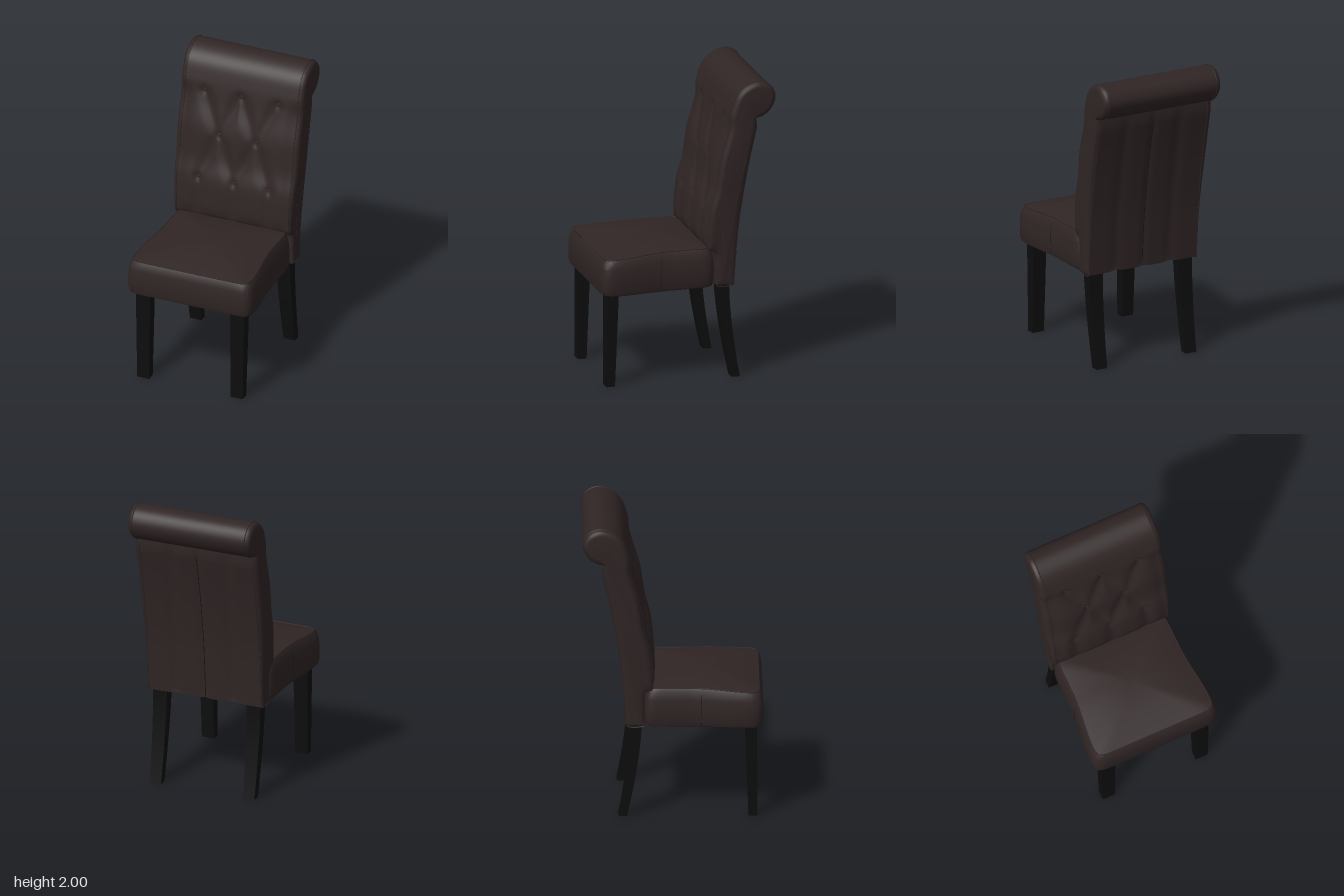
import * as THREE from 'three';
import { toCreasedNormals } from 'three/addons/utils/BufferGeometryUtils.js';

const V2 = (a, b) => new THREE.Vector2(a, b);
const V3 = (x, y, z) => new THREE.Vector3(x, y, z);
const { smoothstep, lerp } = THREE.MathUtils;
const gauss = (d, w) => Math.exp(-(d / w) * (d / w));

// Skin a list of closed rings and cap both ends
function loft(rings, project, crease = 0.7) {
  const n = rings[0].length, last = (rings.length - 1) * n, index = [];
  for (let j = 0; j < rings.length - 1; j++) {
    for (let i = 0; i < n; i++) {
      const a = j * n + i, b = j * n + (i + 1) % n;
      index.push(a, a + n, b, b, a + n, b + n);
    }
  }
  const cap = ring => THREE.ShapeUtils.triangulateShape(ring.map(project), []);
  for (const [a, b, c] of cap(rings[0])) index.push(a, b, c);
  for (const [a, b, c] of cap(rings[rings.length - 1])) index.push(last + a, last + c, last + b);
  const g = new THREE.BufferGeometry().setFromPoints(rings.flat());
  g.setIndex(index);
  return toCreasedNormals(g, crease);
}

const piping = (points, closed, radius = 0.004) =>
  new THREE.TubeGeometry(new THREE.CatmullRomCurve3(points, closed), points.length * 2, radius, 5, closed);

// Side profile of the backrest as (z, y): up the front, over the roll, down the rear
const FRONT = [[-0.195, 0.635], [-0.195, 0.75], [-0.185, 0.86], [-0.14, 0.885], [-0.12, 0.94], [-0.122, 1.03],
  [-0.138, 1.16], [-0.175, 1.29], [-0.208, 1.5], [-0.255, 1.66], [-0.295, 1.82], [-0.335, 1.92], [-0.39, 1.972],
  [-0.48, 2.0], [-0.555, 1.968], [-0.59, 1.89], [-0.558, 1.81], [-0.51, 1.77], [-0.462, 1.755]];
const REAR = [[-0.463, 1.69], [-0.4, 1.4], [-0.345, 1.07], [-0.325, 0.87], [-0.308, 0.635]];
const sample = (pts, n) =>
  new THREE.CatmullRomCurve3(pts.map(([z, y]) => V3(0, y, z))).getSpacedPoints(n).map(p => V2(p.z, p.y));

// Tufting buttons and the folds that join them
const BUTTONS = [[-0.26, 1.74], [0, 1.74], [0.26, 1.74], [-0.13, 1.46], [0.13, 1.46], [-0.25, 1.16], [0, 1.16], [0.25, 1.16]];
const FOLDS = [[0, 3], [1, 3], [1, 4], [2, 4], [3, 5], [3, 6], [4, 6], [4, 7]].map(([a, b]) => [BUTTONS[a], BUTTONS[b]]);
for (const i of [5, 6, 7]) FOLDS.push([BUTTONS[i], [BUTTONS[i][0], 0.85]]);

function foldDistance(x, y) {
  let best = 1;
  for (const [[ax, ay], [bx, by]] of FOLDS) {
    const dx = bx - ax, dy = by - ay;
    const t = Math.min(1, Math.max(0, ((x - ax) * dx + (y - ay) * dy) / (dx * dx + dy * dy)));
    best = Math.min(best, Math.hypot(x - ax - t * dx, y - ay - t * dy));
  }
  return best;
}
function tuft(x, y) {
  const fade = smoothstep(y, 0.87, 0.95) * (1 - smoothstep(y, 1.7, 1.8));
  let d = fade * (0.016 * gauss(foldDistance(x, y), 0.045) + 0.018 * gauss(Math.abs(x) - 0.4, 0.06));
  for (const [bx, by] of BUTTONS) d += 0.012 * gauss(Math.hypot(x - bx, y - by), 0.022);
  return d;
}

function backrestRings() {
  const front = sample(FRONT, 110), rear = sample(REAR, 36), prof = [...front, ...rear], n = prof.length;
  const inward = prof.map((p, i) => {
    const t = prof[(i + 1) % n].clone().sub(prof[(i + n - 1) % n]).normalize();
    return V2(-t.y, t.x);
  });
  const ring = (x, side, k, inset) => prof.map((p, i) => {
    const y = p.y;
    let d = inset;
    if (i < 85) d += tuft(x, y);
    else if (i >= front.length) d += 0.008 * (gauss(x, 0.025) + gauss(Math.abs(x) - 0.2, 0.04));
    const bulge = side * k * lerp(0.01, 0.034, smoothstep(y, 0.65, 1.5));
    return V3(x + bulge, y + inward[i].y * d, p.x + inward[i].x * d);
  });
  const ends = [[1, 0.035], [0.85, 0.014], [0.5, 0.004]];
  const rings = ends.map(([k, d]) => ring(-0.4, -1, k, d));
  for (let j = 0; j <= 70; j++) rings.push(ring(-0.4 + 0.8 * j / 70, 0, 0, 0));
  for (const [k, d] of [...ends].reverse()) rings.push(ring(0.4, 1, k, d));
  return { rings, frontCount: front.length };
}

// Seat outline: soft-cornered, wider towards the front
function seatRing(inset, height, scale = 1) {
  const pts = [];
  for (let i = 0; i < 120; i++) {
    const a = i / 120 * Math.PI * 2, c = Math.cos(a), s = Math.sin(a);
    const r = 1 / Math.pow(Math.abs(c) ** 16 + Math.abs(s) ** 16, 1 / 16);
    const z = 0.197 + s * r * (0.387 - inset) * scale;
    const half = 0.408 + 0.035 * smoothstep(z, 0.08, 0.5);
    pts.push(V3(c * r * (half - inset) * scale, height(z), z));
  }
  return pts;
}

// Tapered square leg through sections [y, x, z, width, depth]
const legGeometry = sections => loft(sections.map(([y, x, z, w, d]) =>
  [[-1, -1], [1, -1], [1, 1], [-1, 1]].map(([u, v]) => V3(x + u * w / 2, y, z + v * d / 2))), p => V2(p.x, p.z), 0.5);

export function createModel() {
  const model = new THREE.Group();
  const material = (name, color) => Object.assign(new THREE.MeshStandardMaterial({ color }), { name });
  const leather = material('dark brown leather', 0x302525);
  const stitch = material('seam shadow', 0x1a1313);
  const wood = material('black wood', 0x0d0d0d);
  const lining = material('olive lining', 0x2e2619);
  const add = (name, geometry, mat, parent = model) => {
    const m = new THREE.Mesh(geometry, mat);
    m.name = name;
    parent.add(m);
    return m;
  };

  // Backrest with scrolled top
  const back = new THREE.Group();
  back.name = 'backrest';
  model.add(back);
  const { rings, frontCount } = backrestRings();
  add('backrestCushion', loft(rings, p => V2(p.z, p.y)), leather, back);
  add('rightBackPiping', piping(rings[3], true), leather, back);
  add('leftBackPiping', piping(rings[rings.length - 4], true), leather, back);
  add('rearSeam', piping(rings[38].slice(frontCount), false, 0.003), stitch, back);

  // Tufting buttons sit at the bottom of their dimples
  for (const [x, y] of BUTTONS) {
    const column = rings[3 + Math.round((x + 0.4) / 0.8 * 70)].slice(0, 85);
    const p = column.reduce((a, b) => Math.abs(b.y - y) < Math.abs(a.y - y) ? b : a);
    const b = add('button', new THREE.SphereGeometry(0.011, 12, 8), leather, back);
    b.scale.z = 0.5;
    b.position.set(x, y, p.z);
  }

  // Seat cushion: boxed sides and a domed top
  const seat = new THREE.Group();
  seat.name = 'seat';
  model.add(seat);
  const seamY = z => 0.888 - 0.022 * smoothstep(z, 0.15, 0.58);
  const seatRings = [[0.05, 0.655], [0.045, 0.628], [0.028, 0.622], [0.01, 0.632], [0.002, 0.66], [0, 0.74], [0.004, 0.81]]
    .map(([inset, y]) => seatRing(inset, () => y));
  seatRings.push(seatRing(0.014, z => seamY(z) - 0.02));
  const seam = seatRing(0.026, seamY);
  seatRings.push(seam);
  for (const s of [0.97, 0.92, 0.84, 0.74, 0.6, 0.45, 0.3, 0.15, 0.03]) {
    seatRings.push(seatRing(0.026, z => seamY(z) + 0.046 * (1 - s * s), s));
  }
  add('seatCushion', loft(seatRings, p => V2(p.x, p.z)), leather, seat);
  add('seatPiping', piping(seam, true), leather, seat);
  for (const side of [-1, 1]) {
    const seamLine = [[0.409, 0.64], [0.4125, 0.74], [0.4085, 0.81], [0.398, 0.862]]
      .map(([x, y]) => V3(side * x, y, 0.18));
    add('seatSideSeam', piping(seamLine, false, 0.002), stitch, seat);
  }
  const under = [seatRing(0.052, () => 0.648), seatRing(0.052, () => 0.654)];
  add('underside', loft(under, p => V2(p.x, p.z)), lining, seat);

  // Straight front legs and swept rear legs
  const rearSections = [];
  for (let i = 0; i <= 10; i++) {
    const t = i / 10;
    rearSections.push([t * 0.66, 0.332, -0.245 - 0.087 * (1 - t) ** 1.6, lerp(0.08, 0.1, t), lerp(0.056, 0.078, t)]);
  }
  const frontSections = [[0, 0.332, 0.515, 0.085, 0.058], [0.66, 0.334, 0.502, 0.102, 0.08]];
  const mirror = s => s.map(([y, x, ...rest]) => [y, -x, ...rest]);
  add('leftFrontLeg', legGeometry(frontSections), wood);
  add('rightFrontLeg', legGeometry(mirror(frontSections)), wood);
  add('leftRearLeg', legGeometry(rearSections), wood);
  add('rightRearLeg', legGeometry(mirror(rearSections)), wood);
  return model;
}
